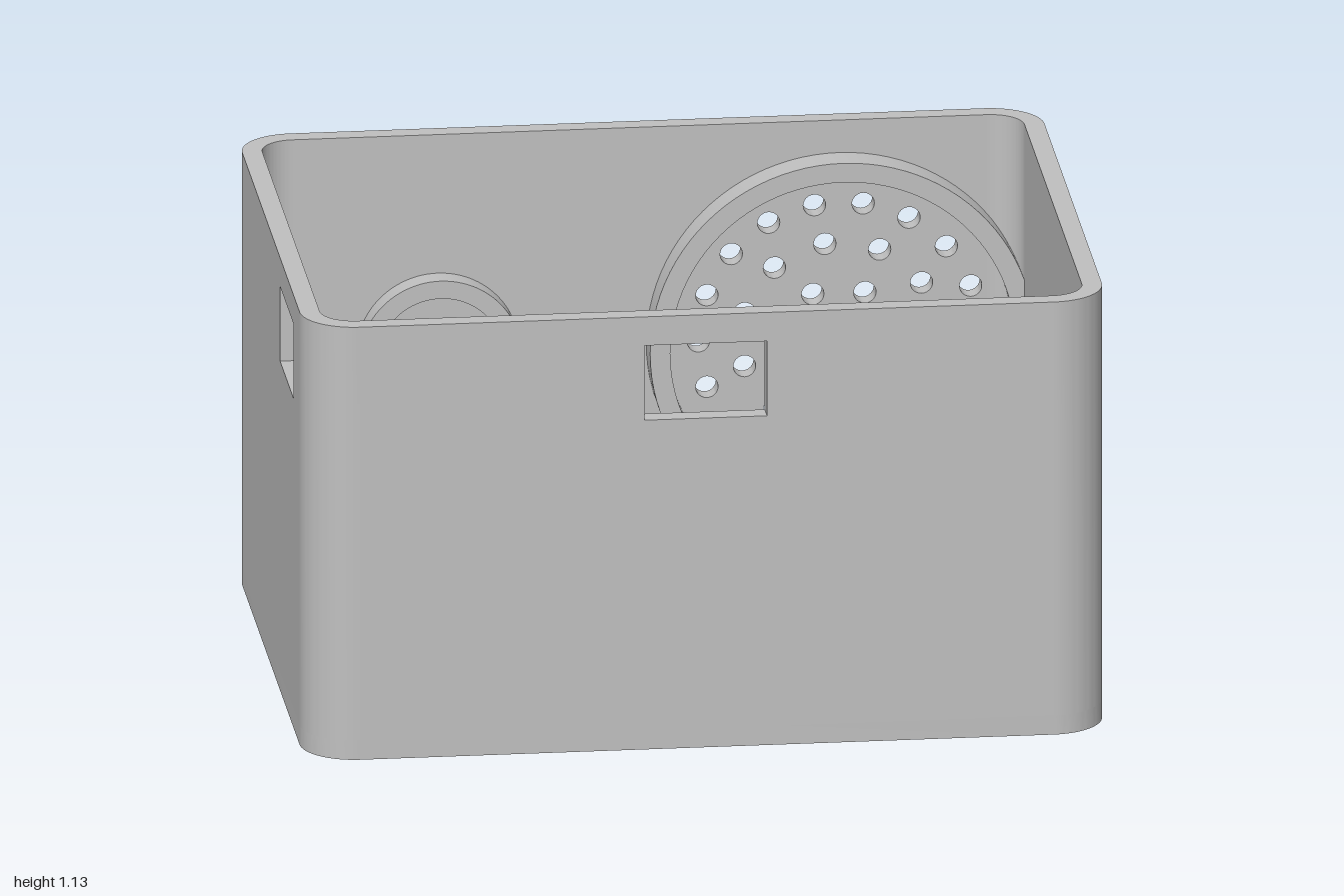
import * as THREE from 'three';
import { toCreasedNormals } from 'three/addons/utils/BufferGeometryUtils.js';

const HX = 1, HZ = 0.76, H = 1.13, WALL = 0.05, R = 0.135;
const SX = HX - R, SZ = HZ - R; // half lengths of the straight walls
const CY = 0.565;               // height of the ring centres

export function createModel() {
  const group = new THREE.Group();
  const plastic = new THREE.MeshStandardMaterial({ color: 0xc0c0c0 });
  plastic.name = 'grey plastic';

  const rect = (x0, y0, x1, y1, Type = THREE.Path) => {
    const p = new Type();
    p.moveTo(x0, y0);
    p.lineTo(x1, y0);
    p.lineTo(x1, y1);
    p.lineTo(x0, y1);
    p.closePath();
    return p;
  };
  const circle = (x, y, r, Type = THREE.Path) => new Type().absarc(x, y, r, 0, Math.PI * 2, false);
  const extrude = (shape, depth, curveSegments = 12) =>
    toCreasedNormals(
      new THREE.ExtrudeGeometry(shape, { depth, bevelEnabled: false, curveSegments }), 0.6);
  const add = (name, geometry, x = 0, y = 0, z = 0) => {
    const mesh = new THREE.Mesh(geometry, plastic);
    mesh.name = name;
    mesh.position.set(x, y, z);
    group.add(mesh);
  };

  // Floor with a rectangular cutout, two screw holes and a round hole
  const floor = new THREE.Shape();
  floor.absarc(SX, SZ, R, 0, Math.PI / 2, false);
  floor.absarc(-SX, SZ, R, Math.PI / 2, Math.PI, false);
  floor.absarc(-SX, -SZ, R, Math.PI, Math.PI * 1.5, false);
  floor.absarc(SX, -SZ, R, Math.PI * 1.5, Math.PI * 2, false);
  floor.holes.push(
    rect(-0.375, -0.135, 0.135, 0.14),
    circle(-0.425, 0, 0.02), circle(0.18, 0, 0.02),
    circle(0, -0.51, 0.11));
  add('floor', extrude(floor, WALL).rotateX(-Math.PI / 2));

  // Rounded corner posts
  for (let k = 0; k < 4; k++) {
    const a = k * Math.PI / 2, b = a + Math.PI / 2;
    const corner = new THREE.Shape();
    corner.absarc(0, 0, R, a, b, false);
    corner.absarc(0, 0, R - WALL, b, a, true);
    const sx = k === 0 || k === 3 ? SX : -SX, sz = k < 2 ? -SZ : SZ;
    add('cornerWall', extrude(corner, H - WALL).rotateX(-Math.PI / 2), sx, WALL, sz);
  }

  // Front wall with window
  const front = rect(-SX, WALL, SX, H, THREE.Shape);
  front.holes.push(rect(-0.155, 0.86, 0.15, 1.055));
  add('frontWall', extrude(front, WALL), 0, 0, HZ - WALL);

  // Side walls, with a window on the -x side
  const windowSide = rect(-SZ, WALL, SZ, H, THREE.Shape);
  windowSide.holes.push(rect(-0.497, 0.86, -0.2, 1.055));
  add('rightWall', extrude(windowSide, WALL).rotateY(Math.PI / 2), -HX, 0, 0);
  add('leftWall', extrude(rect(-SZ, WALL, SZ, H, THREE.Shape), WALL).rotateY(Math.PI / 2), HX - WALL, 0, 0);

  // Back wall with speaker grille and a single small hole
  const back = rect(-SX, WALL, SX, H, THREE.Shape);
  const grilleX = 0.497, sensorX = -0.503;
  back.holes.push(circle(grilleX, CY, 0.028), circle(sensorX, CY, 0.03));
  for (const [count, radius] of [[6, 0.13], [11, 0.245], [18, 0.35]]) {
    for (let i = 0; i < count; i++) {
      const a = i / count * Math.PI * 2;
      back.holes.push(circle(grilleX + radius * Math.cos(a), CY + radius * Math.sin(a), 0.028));
    }
  }
  add('backWall', extrude(back, WALL), 0, 0, -HZ);

  // Mounting rings on the inside of the back wall
  const ring = (name, x, outer, inner, depth) => {
    const shape = circle(x, CY, outer, THREE.Shape);
    shape.holes.push(circle(x, CY, inner));
    add(name, extrude(shape, depth, 48), 0, 0, WALL - HZ);
  };
  ring('speakerRing', grilleX, 0.48, 0.43, 0.085);
  ring('sensorRing', sensorX, 0.203, 0.157, 0.063);

  return group;
}
